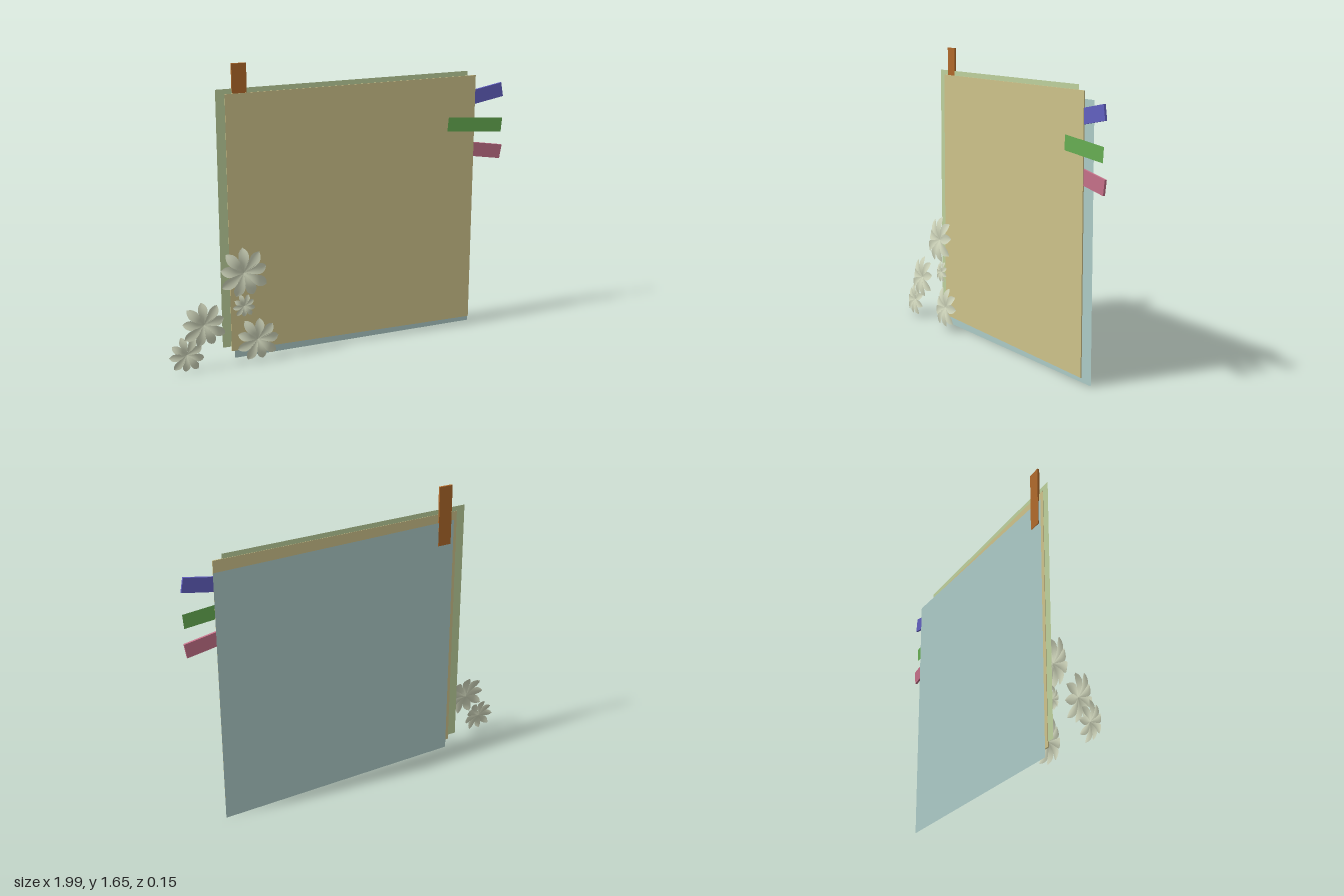
import * as THREE from 'three';
import { mergeGeometries } from 'three/addons/utils/BufferGeometryUtils.js';

const paint = (color) => new THREE.MeshStandardMaterial({ color, side: THREE.DoubleSide });

function add(parent, name, geometry, color, x, y, z) {
  const mesh = new THREE.Mesh(geometry, paint(color));
  mesh.name = name;
  mesh.position.set(x, y, z);
  parent.add(mesh);
  return mesh;
}

// One petal along +y: narrow at the base, widest near the rounded tip, gently cupped
function petal(length, width, angle) {
  const g = new THREE.PlaneGeometry(1, 1, 4, 12);
  const p = g.attributes.position;
  for (let i = 0; i < p.count; i++) {
    const u = p.getX(i) * 2;
    const t = p.getY(i) + 0.5;
    const half = 0.5 * width * (0.12 * (1 - t) + Math.pow(Math.sin(Math.PI * Math.pow(t, 1.75)), 0.75));
    const lift = length * (0.13 * Math.sin(Math.PI * t * 0.9) - 0.06 * t);
    p.setXYZ(i, u * half, t * length, lift + 0.18 * half * u * u);
  }
  g.rotateZ(angle);
  g.computeVertexNormals();
  return g;
}

function flower(radius, count, turn) {
  const petals = [];
  for (let i = 0; i < count; i++) {
    const length = radius * (0.94 + 0.06 * Math.sin(i * 2.4 + turn * 5));
    const angle = turn + (i / count) * Math.PI * 2 + 0.07 * Math.sin(i * 3.1);
    petals.push(petal(length, radius * 0.39, angle));
  }
  return mergeGeometries(petals);
}

export function createModel() {
  const model = new THREE.Group();
  const size = 1.445;

  // Stacked square sheets, the back one swung slightly away on its right side
  const sheet = new THREE.PlaneGeometry(size, size);
  add(model, 'frontSheet', new THREE.BoxGeometry(size, size, 0.006), 0xcdc28a, 0.093, 0.78, -0.0255);
  add(model, 'middleSheet', sheet, 0xbdd09c, 0.043, 0.807, -0.0265);
  add(model, 'backSheet', sheet, 0xaccac6, 0.113, 0.733, -0.0525).rotation.y = 0.027;

  // Page markers
  const tab = new THREE.BoxGeometry(0.34, 0.08, 0.012);
  add(model, 'topTab', tab, 0xb0692a, -0.55, 1.49, -0.031).rotation.z = Math.PI / 2;
  add(model, 'upperSideTab', tab, 0x6260c0, 0.818, 1.379, -0.031).rotation.z = 0.18;
  add(model, 'lowerSideTab', tab, 0xc47088, 0.822, 1.075, -0.031).rotation.z = -0.165;
  add(model, 'middleSideTab', new THREE.PlaneGeometry(0.336, 0.08), 0x66ad52, 0.82, 1.22, -0.0215)
    .rotation.z = -0.085;

  // Flowers: x, y, z, radius, petal count, turn
  const flowers = new THREE.Group();
  flowers.name = 'flowers';
  model.add(flowers);
  [
    [-0.57, 0.535, 0.045, 0.147, 9, 0.0],
    [-0.80, 0.265, 0.045, 0.132, 9, 0.05],
    [-0.90, 0.105, 0.045, 0.105, 9, 0.25],
    [-0.50, 0.14, 0.045, 0.13, 9, -0.15],
    [-0.57, 0.34, 0.035, 0.068, 9, 0.3],
  ].forEach(([x, y, z, radius, count, turn], i) => {
    add(flowers, 'flower' + (i + 1), flower(radius, count, turn), 0xccd2b8, x, y, z).rotation.x = -0.12;
  });

  return model;
}
